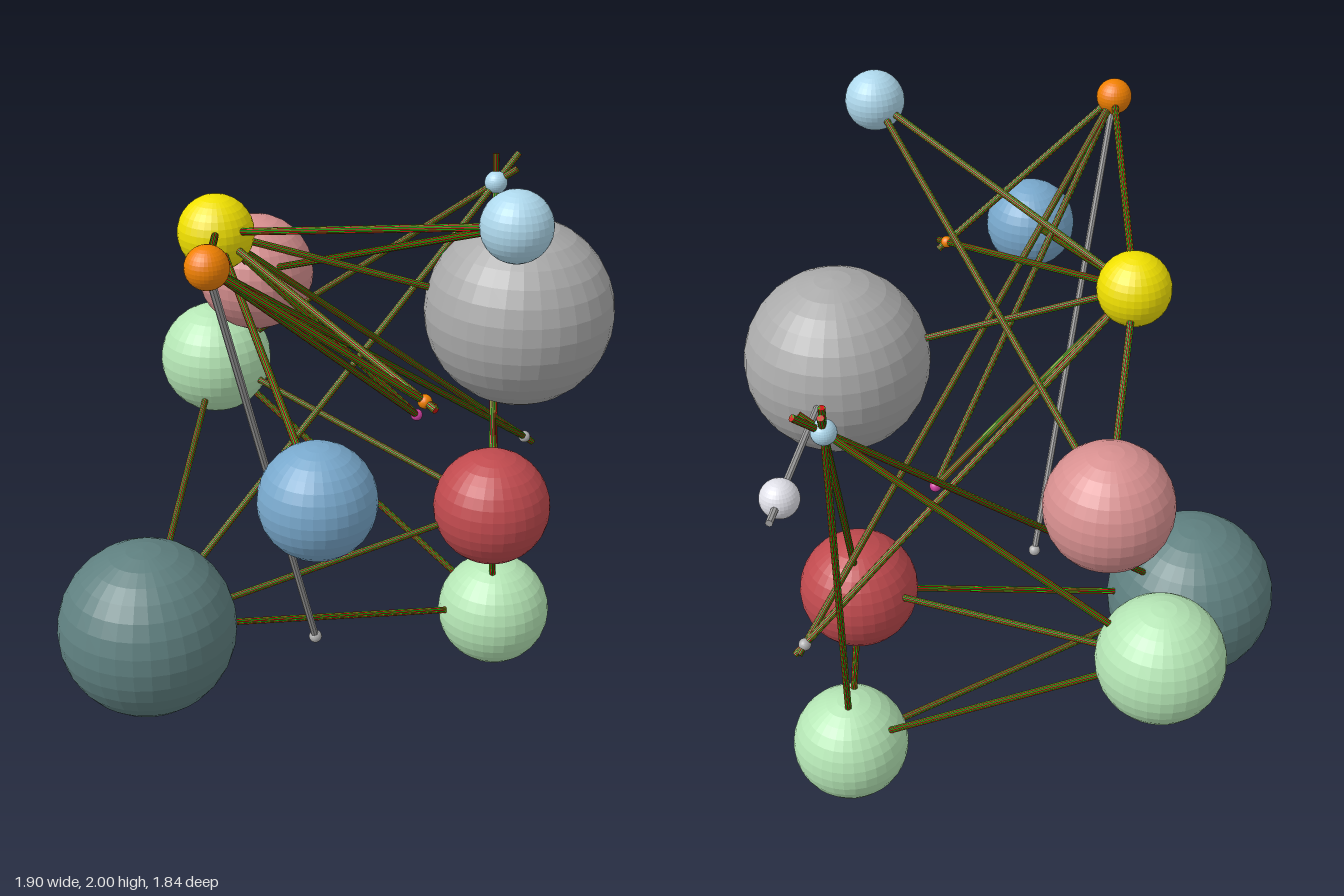
import * as THREE from 'three';

// Balls: centre x, y, z, radius, colour
const BALLS = {
  greyBall: [0.41, 1.41, -0.296, 0.273, 0xaaaaaa],
  slateBall: [-0.235, 0.415, 0.603, 0.273, 0x5f8080],
  leftGreenBall: [-0.77, 0.925, -0.105, 0.183, 0xb5e6b5],
  lowGreenBall: [0.145, 0.186, -0.528, 0.183, 0xb5e6b5],
  redBall: [0.257, 0.675, -0.38, 0.183, 0xc04a4e],
  pinkBall: [-0.528, 1.308, -0.088, 0.183, 0xd89090],
  yellowBall: [-0.157, 1.65, 0.35, 0.109, 0xf0e000],
  blueBall: [0.758, 1.325, 0.773, 0.147, 0x78a8cc],
  paleBlueBall: [0.855, 1.912, 0.216, 0.091, 0xaed8ec],
  orangeBall: [0.468, 1.862, 0.86, 0.055, 0xf08000],
  whiteBall: [-0.053, 1.437, -0.832, 0.055, 0xe0e0e8],
  smallBlueBall: [-0.062, 1.585, -0.684, 0.036, 0xaed8ec],
  magentaBead: [0.143, 1.024, -0.156, 0.018, 0xd040a0],
  greyBead: [0.09, 0.745, -0.704, 0.019, 0xb0b0b0],
  hangingBead: [0.214, 0.474, 0.315, 0.019, 0xb0b0b0],
  orangeBead: [0.696, 1.433, 0.357, 0.019, 0xf08000],
};

// Links: start ball, its end balls, and how far each rod runs past the end
const LINKS = [
  ['slateBall', ['leftGreenBall', 'lowGreenBall', 'redBall'], 0],
  ['leftGreenBall', ['lowGreenBall', 'redBall'], 0],
  ['lowGreenBall', ['redBall'], 0],
  ['slateBall', ['smallBlueBall'], 0.118],
  ['leftGreenBall', ['smallBlueBall'], 0.08],
  ['lowGreenBall', ['smallBlueBall'], 0.09],
  ['redBall', ['smallBlueBall'], 0.075],
  ['yellowBall', ['greyBall', 'pinkBall', 'blueBall', 'paleBlueBall', 'orangeBall', 'magentaBead'], 0],
  ['yellowBall', ['greyBead', 'orangeBead'], 0.042],
  ['orangeBall', ['greyBead', 'orangeBead'], 0.035],
  ['orangeBall', ['magentaBead'], 0],
  ['pinkBall', ['paleBlueBall'], 0],
];
const PLAIN_LINKS = [
  ['greyBall', ['whiteBall'], 0.112],
  ['orangeBall', ['hangingBead'], 0],
];

const SIDES = 8;
const UP = new THREE.Vector3(0, 1, 0);
const centre = (name) => new THREE.Vector3(...BALLS[name].slice(0, 3));
const paint = (color) => new THREE.MeshStandardMaterial({ color, flatShading: true });

// Straight rod between two balls, rolled about its own axis
function rod(from, to, past, material, roll) {
  const a = centre(from), b = centre(to);
  const dir = b.clone().sub(a).normalize();
  b.addScaledVector(dir, past);
  const geometry = new THREE.CylinderGeometry(0.0105, 0.0105, a.distanceTo(b), SIDES);
  geometry.rotateY(roll);
  const mesh = new THREE.Mesh(geometry, material);
  mesh.position.copy(a).lerp(b, 0.5);
  mesh.quaternion.setFromUnitVectors(UP, dir);
  return mesh;
}

export function createModel() {
  const model = new THREE.Group();
  model.name = 'ballAndRodNetwork';

  // Balls and beads
  for (const [name, [x, y, z, radius, color]] of Object.entries(BALLS)) {
    const ball = new THREE.Mesh(new THREE.SphereGeometry(radius, 32, 16), paint(color));
    ball.name = name;
    ball.position.set(x, y, z);
    model.add(ball);
  }

  // Two-tone links: a red and a green rod share an axis, so their edges alternate
  const red = paint(0xd01010), green = paint(0x10c810), grey = paint(0xa0a0a0);
  for (const [from, ends, past] of LINKS) {
    for (const to of ends) {
      const link = new THREE.Group();
      link.name = 'twoToneLink';
      const redRod = rod(from, to, past, red, 0);
      redRod.name = 'redRod';
      const greenRod = rod(from, to, past, green, Math.PI / SIDES);
      greenRod.name = 'greenRod';
      link.add(redRod, greenRod);
      model.add(link);
    }
  }

  // Plain grey links
  for (const [from, ends, past] of PLAIN_LINKS) {
    for (const to of ends) {
      const mesh = rod(from, to, past, grey, 0);
      mesh.name = 'greyRod';
      model.add(mesh);
    }
  }
  return model;
}
